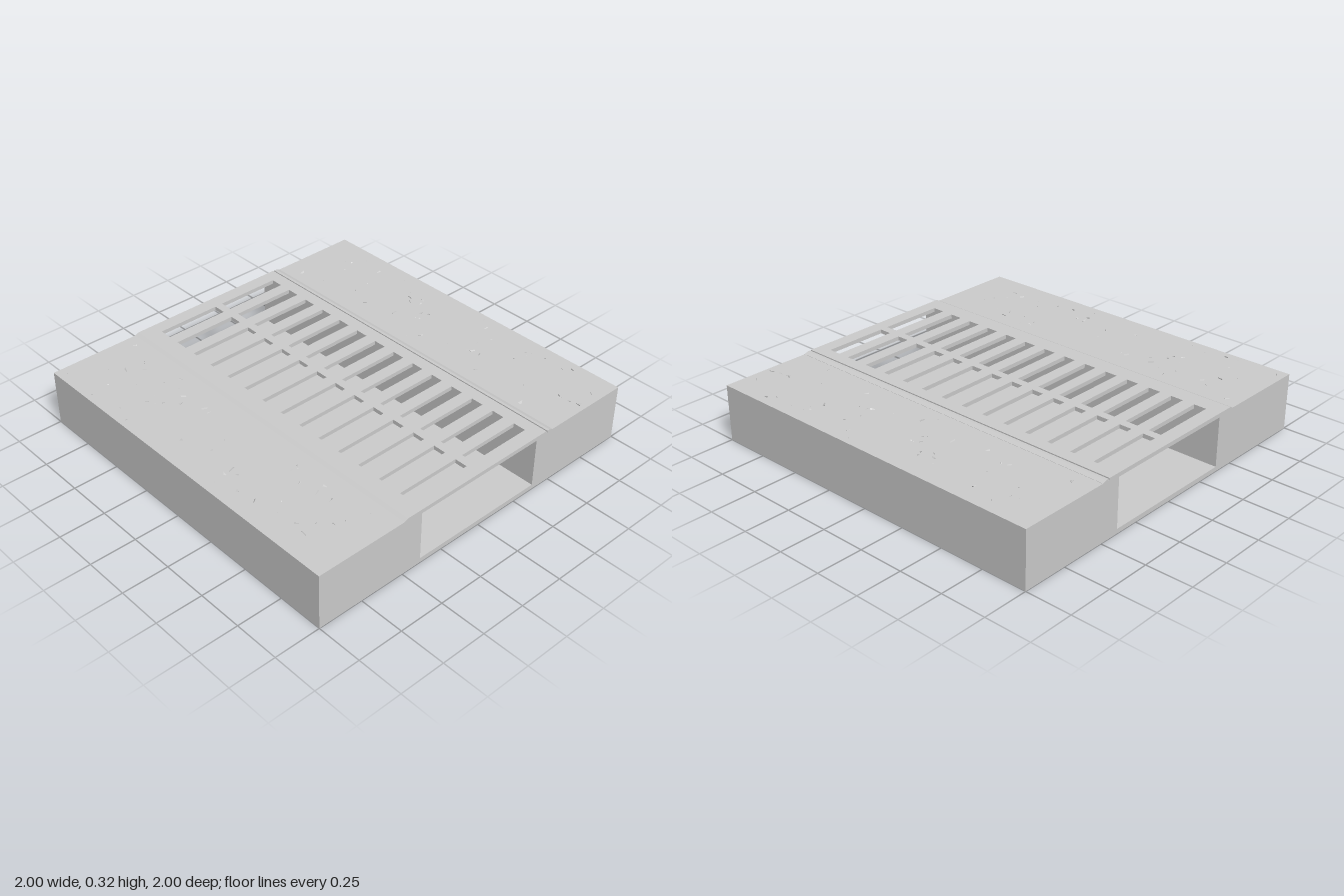
import * as THREE from 'three';

const material = new THREE.MeshStandardMaterial({ color: 0xcccccc, flatShading: true });

function addMesh(parent, name, geometry) {
  const mesh = new THREE.Mesh(geometry, material);
  mesh.name = name;
  parent.add(mesh);
  return mesh;
}

// Extrudes a [z, y] outline along the full width in x
function extrudeAlongX(points) {
  const shape = new THREE.Shape(points.map(([z, y]) => new THREE.Vector2(-z, y)));
  return new THREE.ExtrudeGeometry(shape, { depth: 2, bevelEnabled: false })
    .rotateY(Math.PI / 2).translate(-1, 0, 0);
}

function seeded(seed) {
  return () => (seed = (seed * 16807) % 2147483647) / 2147483647;
}

// Cover plate with two rows of drainage slots
function grateGeometry(zBack, zFront, thickness) {
  const rect = (Type, x0, x1, z0, z1) => new Type([
    new THREE.Vector2(x0, -z1), new THREE.Vector2(x1, -z1),
    new THREE.Vector2(x1, -z0), new THREE.Vector2(x0, -z0),
  ]);
  const plate = rect(THREE.Shape, -1, 1, zBack, zFront);
  for (let i = 0; i < 14; i++) {
    const x = -0.889 + i * 0.1368;
    for (const [z0, z1] of [[-0.385, -0.025], [0.02, 0.38]]) {
      plate.holes.push(rect(THREE.Path, x - 0.035, x + 0.035, z0, z1));
    }
  }
  return new THREE.ExtrudeGeometry(plate, { depth: thickness, bevelEnabled: false })
    .rotateX(-Math.PI / 2);
}

// Angular stone chips just breaking through a slab surface
function addChips(parent, zMin, zMax, top, random) {
  for (let i = 0; i < 48; i++) {
    const size = 0.012 + random() * 0.016;
    const geometry = new THREE.TetrahedronGeometry(size)
      .scale(1.3, 0.7, 0.8)
      .rotateX(random() * 6.28).rotateZ(random() * 6.28).rotateY(random() * 6.28);
    geometry.computeBoundingBox();
    const rise = 0.002 + random() * 0.006;
    geometry.translate(
      (random() * 2 - 1) * 0.96,
      top + rise - geometry.boundingBox.max.y,
      zMin + 0.04 + random() * (zMax - zMin - 0.08),
    );
    addMesh(parent, 'stoneChip', geometry);
  }
}

export function createModel() {
  const model = new THREE.Group();
  const slabTop = 0.307, rimTop = 0.317, plateBottom = 0.295;
  const random = seeded(4711);

  // Paving slabs on both sides of the channel
  for (const [name, z0, z1, chipBack, chipFront] of [
    ['frontSlab', 0.495, 1, 0.495, 1],
    ['backSlab', -1, -0.453, -1, -0.5],
  ]) {
    const group = new THREE.Group();
    group.name = name;
    addMesh(group, 'slabBody', extrudeAlongX([[z1, 0], [z0, 0], [z0, slabTop], [z1, slabTop]]));
    addChips(group, chipBack, chipFront, slabTop, random);
    model.add(group);
  }

  // Open-ended drainage channel
  const channel = new THREE.Group();
  channel.name = 'drainChannel';
  addMesh(channel, 'channelTrough', extrudeAlongX([
    [0.495, 0], [-0.453, 0], [-0.453, rimTop], [-0.385, rimTop], [-0.385, 0.025],
    [0.385, 0.025], [0.385, rimTop], [0.475, rimTop], [0.495, slabTop],
  ]));
  // Chamfered lip along the back edge, separated by a fine groove
  addMesh(channel, 'backLip', extrudeAlongX([
    [-0.46, slabTop - 0.002], [-0.498, slabTop - 0.002], [-0.498, slabTop + 0.001],
    [-0.475, rimTop - 0.001], [-0.46, rimTop - 0.001],
  ]));
  const grate = addMesh(channel, 'slottedGrate', grateGeometry(-0.386, 0.386, rimTop - plateBottom));
  grate.position.y = plateBottom;
  model.add(channel);

  return model;
}
